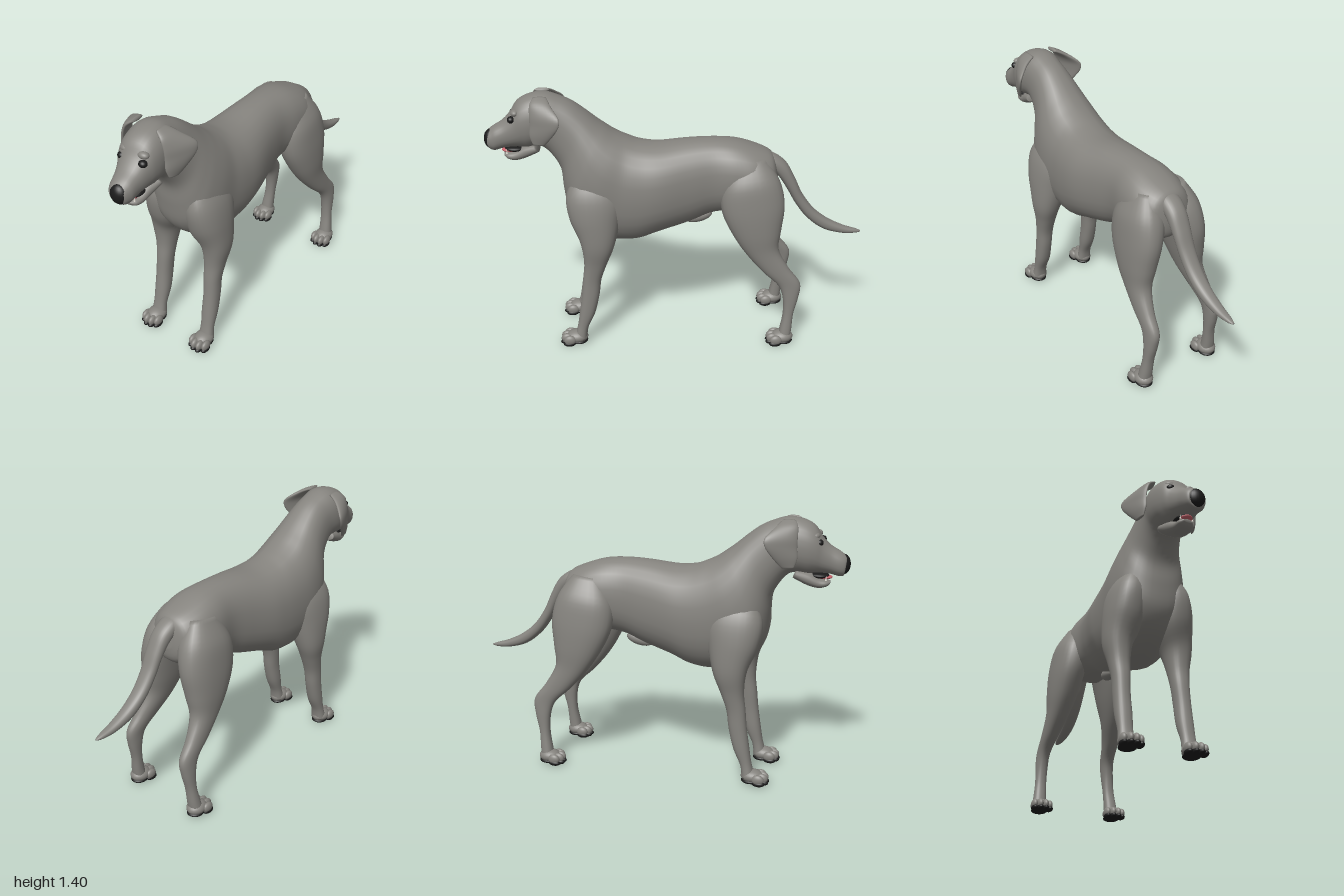
import * as THREE from 'three';

const mat = (name, color, side = THREE.FrontSide) => {
  const m = new THREE.MeshStandardMaterial({ color, side });
  m.name = name;
  return m;
};

// Smooth tube through cross-sections. Each section is
// [zA, yA, zB, yB, halfWidth, xA, xB]: two opposite edge points and a half width.
function loft(sections, side = 1, sub = 5, n = 28) {
  const rows = sections.map(([za, ya, zb, yb, w, xa = 0, xb = xa]) =>
    [xa * side, ya, za, xb * side, yb, zb, w]);
  const rings = [];
  const spline = (p, q, r, s, t) => 0.5 * (2 * q + (r - p) * t +
    (2 * p - 5 * q + 4 * r - s) * t * t + (3 * q - p - 3 * r + s) * t * t * t);
  for (let i = 0; i < rows.length - 1; i++) {
    const [p, q, r, s] = [-1, 0, 1, 2].map(
      k => rows[Math.min(rows.length - 1, Math.max(0, i + k))]);
    const last = i === rows.length - 2 ? 1 : 0;
    for (let j = 0; j < sub + last; j++) {
      const v = q.map((_, k) => spline(p[k], q[k], r[k], s[k], j / sub));
      const a = new THREE.Vector3(v[0], v[1], v[2]);
      const b = new THREE.Vector3(v[3], v[4], v[5]);
      rings.push({
        c: a.clone().add(b).multiplyScalar(0.5),
        half: a.sub(b).multiplyScalar(0.5), w: v[6],
      });
    }
  }
  const pos = [], idx = [];
  const soft = v => Math.sign(v) * Math.abs(v) ** 0.88;
  rings.forEach((r, i) => {
    const next = rings[Math.min(i + 1, rings.length - 1)].c;
    const prev = rings[Math.max(i - 1, 0)].c;
    const across = next.clone().sub(prev).cross(r.half).normalize();
    for (let k = 0; k < n; k++) {
      const t = (k / n) * Math.PI * 2;
      const p = r.c.clone().addScaledVector(across, soft(Math.cos(t)) * r.w)
        .addScaledVector(r.half, soft(Math.sin(t)));
      pos.push(p.x, p.y, p.z);
    }
  });
  for (let i = 0; i < rings.length - 1; i++) {
    for (let k = 0; k < n; k++) {
      const a = i * n + k, b = i * n + (k + 1) % n;
      idx.push(a, b, a + n, b, b + n, a + n);
    }
  }
  // End caps
  const end = (rings.length - 1) * n, c0 = rings.length * n;
  for (const r of [rings[0], rings[rings.length - 1]]) pos.push(r.c.x, r.c.y, r.c.z);
  for (let k = 0; k < n; k++) {
    const m = (k + 1) % n;
    idx.push(c0, m, k, c0 + 1, end + k, end + m);
  }
  // Turn the faces outward
  let volume = 0;
  const P = i => new THREE.Vector3().fromArray(pos, i * 3);
  for (let i = 0; i < idx.length; i += 3) {
    volume += P(idx[i]).dot(P(idx[i + 1]).cross(P(idx[i + 2])));
  }
  if (volume < 0) idx.reverse();
  const g = new THREE.BufferGeometry();
  g.setAttribute('position', new THREE.Float32BufferAttribute(pos, 3));
  g.setIndex(idx);
  g.computeVertexNormals();
  return g;
}

const BODY = [
  [-.51, 1.03, -.53, .90, .05, .01], [-.48, 1.065, -.51, .82, .12, .01],
  [-.40, 1.10, -.40, .76, .165, .01], [-.30, 1.13, -.28, .745, .165, .01],
  [-.18, 1.14, -.17, .725, .15, .01], [-.05, 1.135, -.06, .68, .165, .01],
  [.10, 1.12, .10, .63, .195, .01], [.20, 1.13, .22, .585, .2, .005],
  [.27, 1.155, .36, .585, .197], [.33, 1.185, .50, .65, .195],
  [.38, 1.22, .58, .75, .18], [.42, 1.25, .605, .88, .158],
  [.48, 1.30, .615, .99, .132], [.54, 1.345, .655, 1.065, .115],
  [.60, 1.375, .70, 1.11, .108], [.68, 1.40, .745, 1.12, .113],
  [.76, 1.39, .785, 1.115, .11, .005], [.82, 1.358, .815, 1.118, .1, .01],
  [.86, 1.30, .85, 1.12, .084, .015], [.90, 1.26, .90, 1.116, .07, .02],
  [.95, 1.23, .945, 1.105, .061, .025], [.98, 1.205, .968, 1.11, .047, .03],
  [.99, 1.18, .978, 1.13, .025, .03],
];
const JAW = [
  [.74, 1.14, .72, 1.09, .075, .005], [.80, 1.125, .79, 1.055, .062, .005],
  [.85, 1.095, .845, 1.042, .052, .008], [.885, 1.085, .885, 1.05, .042, .01],
  [.905, 1.08, .903, 1.065, .022, .012],
];
const TAIL = [
  [-.43, 1.06, -.45, .98, .05, .015], [-.50, 1.05, -.51, .95, .056, .015],
  [-.57, 1.00, -.55, .90, .053, .018], [-.62, .915, -.59, .835, .049, .02],
  [-.665, .82, -.63, .765, .045, .02], [-.73, .73, -.695, .68, .042, .02],
  [-.81, .665, -.785, .61, .037, .02], [-.90, .62, -.89, .578, .028, .02],
  [-.97, .598, -.965, .574, .017, .02], [-1, .586, -1, .579, .006, .02],
];
const FRONT_LEG = [
  [.54, .99, .38, 1.01, .04, .09], [.59, .87, .30, .88, .085, .12],
  [.575, .74, .31, .74, .098, .133], [.525, .62, .345, .60, .075, .16],
  [.51, .50, .385, .50, .055, .16], [.52, .40, .42, .40, .045, .158],
  [.53, .30, .435, .30, .042, .16], [.545, .20, .462, .19, .042, .16],
  [.56, .11, .502, .10, .037, .162], [.58, .04, .512, .03, .043, .163],
];
const HIND_LEG = [
  [-.28, 1.03, -.45, 1.05, .05, .09], [-.22, .90, -.525, .94, .095, .11],
  [-.225, .77, -.555, .81, .09, .137], [-.285, .64, -.54, .67, .077, .155],
  [-.36, .53, -.53, .56, .058, .168], [-.45, .43, -.585, .455, .042, .185],
  [-.53, .355, -.65, .365, .034, .195], [-.56, .28, -.645, .28, .033, .2],
  [-.565, .18, -.622, .18, .031, .205], [-.55, .09, -.615, .09, .035, .212],
  [-.54, .04, -.608, .03, .04, .215],
];
const EAR = [
  [.735, 1.388, .665, 1.388, .01, .07, .07], [.75, 1.36, .64, 1.36, .014, .105, .13],
  [.752, 1.31, .60, 1.315, .014, .123, .19], [.752, 1.26, .605, 1.27, .013, .128, .198],
  [.755, 1.21, .64, 1.215, .012, .132, .178], [.74, 1.165, .68, 1.165, .007, .138, .153],
];

export function createModel() {
  const fur = mat('grey fur', 0x85837e);
  const black = mat('black skin', 0x1b1b1b);
  const pink = mat('pink tongue', 0xc8646c);
  const ivory = mat('ivory teeth', 0xd9d5cb);
  const dog = new THREE.Group();
  dog.name = 'dog';

  const add = (name, geometry, material, parent = dog) => {
    const m = new THREE.Mesh(geometry, material);
    m.name = name;
    parent.add(m);
    return m;
  };
  const ball = (name, material, [x, y, z], [rx, ry, rz], parent = dog) => {
    const m = add(name, new THREE.SphereGeometry(1, 24, 16), material, parent);
    m.position.set(x, y, z);
    m.scale.set(rx, ry, rz);
    return m;
  };

  add('bodyAndHead', loft(BODY), fur);
  add('lowerJaw', loft(JAW), fur);
  add('tail', loft(TAIL), fur);
  ball('bellySheath', fur, [.01, .69, -.11], [.032, .032, .075]).rotation.x = .25;

  // Face
  ball('nose', black, [.028, 1.165, .962], [.047, .053, .038]);
  ball('mouthInside', black, [.012, 1.105, .845], [.046, .016, .055]);
  ball('tongue', pink, [.014, 1.098, .872], [.033, .012, .043]);

  // Paw with four toes and a dark sole
  const paw = (name, x, z) => {
    const g = new THREE.Group();
    g.name = name;
    g.position.set(x, 0, z);
    dog.add(g);
    ball('pawTop', fur, [0, .042, -.012], [.05, .036, .06], g);
    ball('heelPad', black, [0, .016, -.02], [.045, .016, .05], g);
    [-.042, -.015, .015, .042].forEach((tx, i) => {
      const tz = i % 3 ? .042 : .026;
      ball('toe', fur, [tx, .037, tz], [.018, .028, .033], g);
      ball('toePad', black, [tx, .015, tz + .004], [.018, .015, .033], g);
    });
  };

  for (const s of [1, -1]) {
    const side = s > 0 ? 'left' : 'right';
    add(side + 'FrontLeg', loft(FRONT_LEG, s), fur);
    add(side + 'HindLeg', loft(HIND_LEG, s), fur);
    paw(side + 'FrontPaw', s * .163, .578);
    paw(side + 'HindPaw', s * .215, -.552);
    add(side + 'Ear', loft(EAR, s), fur).position.x = -.008;
    ball(side + 'Eye', black, [.014 + s * .062, 1.28, .849], [.022, .018, .02]);
    ball(side + 'Brow', fur, [.012 + s * .052, 1.312, .828], [.03, .018, .022]);
    const tooth = add(side + 'Tooth', new THREE.ConeGeometry(.006, .026, 8), ivory);
    tooth.position.set(.012 + s * .032, 1.097, .886);
  }
  return dog;
}
